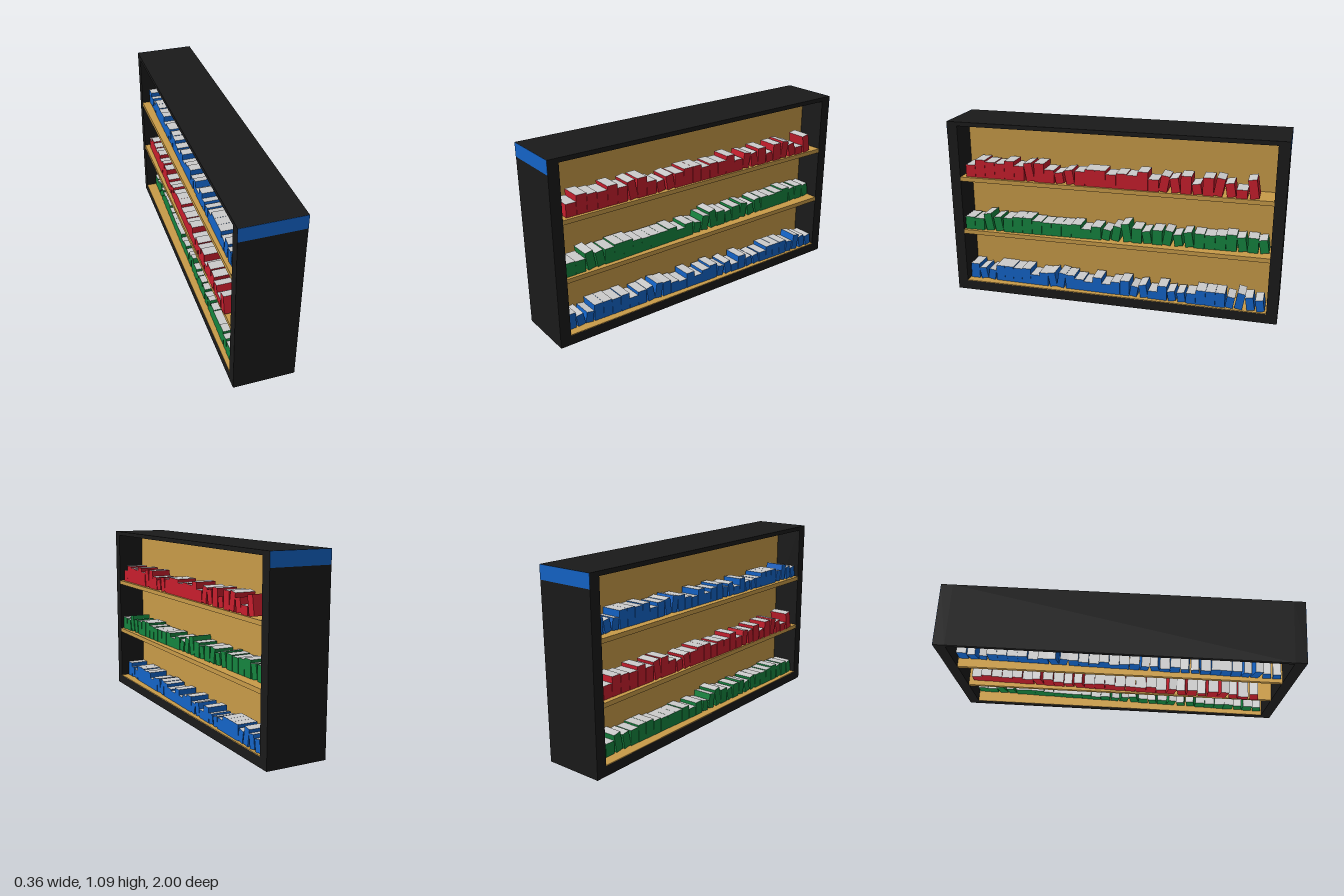
import * as THREE from 'three';

const material = (color) => new THREE.MeshStandardMaterial({ color });
const black = material(0x1a1a1a);
const wood = material(0xc89b48);
const pages = material(0xcccccc);
const red = material(0xc81e2d);
const green = material(0x15843f);
const blue = material(0x1464c8);

const HALF = 0.1785;   // half depth of the case
const HEIGHT = 1.085;
const INNER = 0.935;   // inner face of the end panels

function box(parent, name, mat, sx, sy, sz, x, y, z) {
  const mesh = new THREE.Mesh(new THREE.BoxGeometry(sx, sy, sz), mat);
  mesh.name = name;
  mesh.position.set(x, y, z);
  parent.add(mesh);
  return mesh;
}

// Book rows: heights in thousandths, and the way each book leans (+ or - along z)
const rowA = {
  start: 0.905, end: -0.85,
  heights: [75, 110, 100, 95, 115, 90, 110, 115, 80, 65, 85, 85, 100, 100, 80, 90, 85, 110, 70, 95, 85, 105, 60, 105, 105, 80, 50, 110],
  leans: '......+..++........-+.+.-+.+',
};
const rowB = {
  start: 0.93, end: -0.925,
  heights: [80, 75, 107, 90, 90, 100, 100, 85, 80, 80, 80, 85, 60, 80, 65, 90, 110, 90, 75, 90, 90, 70, 90, 90, 85, 90, 100, 85, 90, 80],
  leans: '..++..........--+.+.-++....+.+',
};
const rowC = {
  start: 0.93, end: -0.925,
  heights: [95, 70, 65, 100, 100, 95, 100, 65, 85, 90, 95, 90, 70, 60, 95, 60, 80, 95, 65, 80, 50, 90, 60, 60, 65, 90, 90, 90, 70, 100, 80, 70],
  leans: '.+-......+-.......-+..++....--++',
};

// Spines recede from the shelf edge by a gap running from gap0 to gap1
function bookRow(name, row, cover, y, gap0, gap1) {
  const group = new THREE.Group();
  group.name = name;
  const n = row.heights.length;
  const pitch = (row.start - row.end) / n;
  const depth = 0.12;
  row.heights.forEach((h, i) => {
    const lean = { '+': 0.17, '-': -0.17, '.': 0 }[row.leans[i]];
    const width = lean ? pitch * 0.8 : pitch * 0.98;
    const height = h / 1000;
    const geometry = new THREE.BoxGeometry(depth, height, width).translate(0, height / 2, 0);
    // page block shows on the top face only
    const book = new THREE.Mesh(geometry, [cover, cover, pages, cover, cover, cover]);
    book.name = 'book';
    const gap = THREE.MathUtils.lerp(gap0, gap1, i / (n - 1));
    book.position.set(
      HALF - gap - depth / 2,
      y + Math.abs(Math.sin(lean)) * width * 0.4,
      row.start - pitch * (i + 0.5) - lean * height * 0.5,
    );
    book.rotation.x = lean;
    group.add(book);
  });
  return group;
}

export function createModel() {
  const model = new THREE.Group();
  model.name = 'doubleSidedBookcase';
  const bookcase = new THREE.Group();
  bookcase.name = 'bookcase';
  bookcase.position.x = 0.0025;
  model.add(bookcase);

  // Outer case
  const panel = 1 - INNER;
  for (const s of [1, -1]) {
    box(bookcase, 'endPanel', black, HALF * 2, HEIGHT, panel - 0.001, 0, HEIGHT / 2, s * (INNER + panel / 2 - 0.0005));
    box(bookcase, 'signBand', blue, HALF * 2, 0.08, 0.001, 0, HEIGHT - 0.04, s * 0.9995);
  }
  box(bookcase, 'topPanel', black, HALF * 2, 0.025, INNER * 2, 0, HEIGHT - 0.0125, 0);
  box(bookcase, 'base', black, HALF * 2, 0.058, INNER * 2, 0, 0.029, 0);

  // Wooden divider, floor and shelves
  box(bookcase, 'divider', wood, 0.02, 1, INNER * 2, 0, 0.56, 0);
  box(bookcase, 'floorBoard', wood, HALF * 2, 0.004, INNER * 2, 0, 0.06, 0);
  for (const y of [0.392, 0.732]) {
    box(bookcase, 'shelf', wood, HALF * 2, 0.026, INNER * 2, 0, y, 0);
  }

  // Books on the left side
  const leftBooks = new THREE.Group();
  leftBooks.name = 'leftBooks';
  leftBooks.add(
    bookRow('topBooks', rowA, red, 0.745, 0.02, 0.008),
    bookRow('middleBooks', rowB, green, 0.405, 0.02, 0.065),
    bookRow('bottomBooks', rowC, blue, 0.062, 0.05, 0.01),
  );

  // Books on the right side, turned round with the colours in another order
  const rightBooks = new THREE.Group();
  rightBooks.name = 'rightBooks';
  rightBooks.rotation.y = Math.PI;
  rightBooks.add(
    bookRow('topBooks', rowC, blue, 0.745, 0.05, 0.02),
    bookRow('middleBooks', rowA, red, 0.405, 0.03, -0.006),
    bookRow('bottomBooks', rowB, green, 0.062, 0.065, 0.025),
  );
  bookcase.add(leftBooks, rightBooks);
  return model;
}
